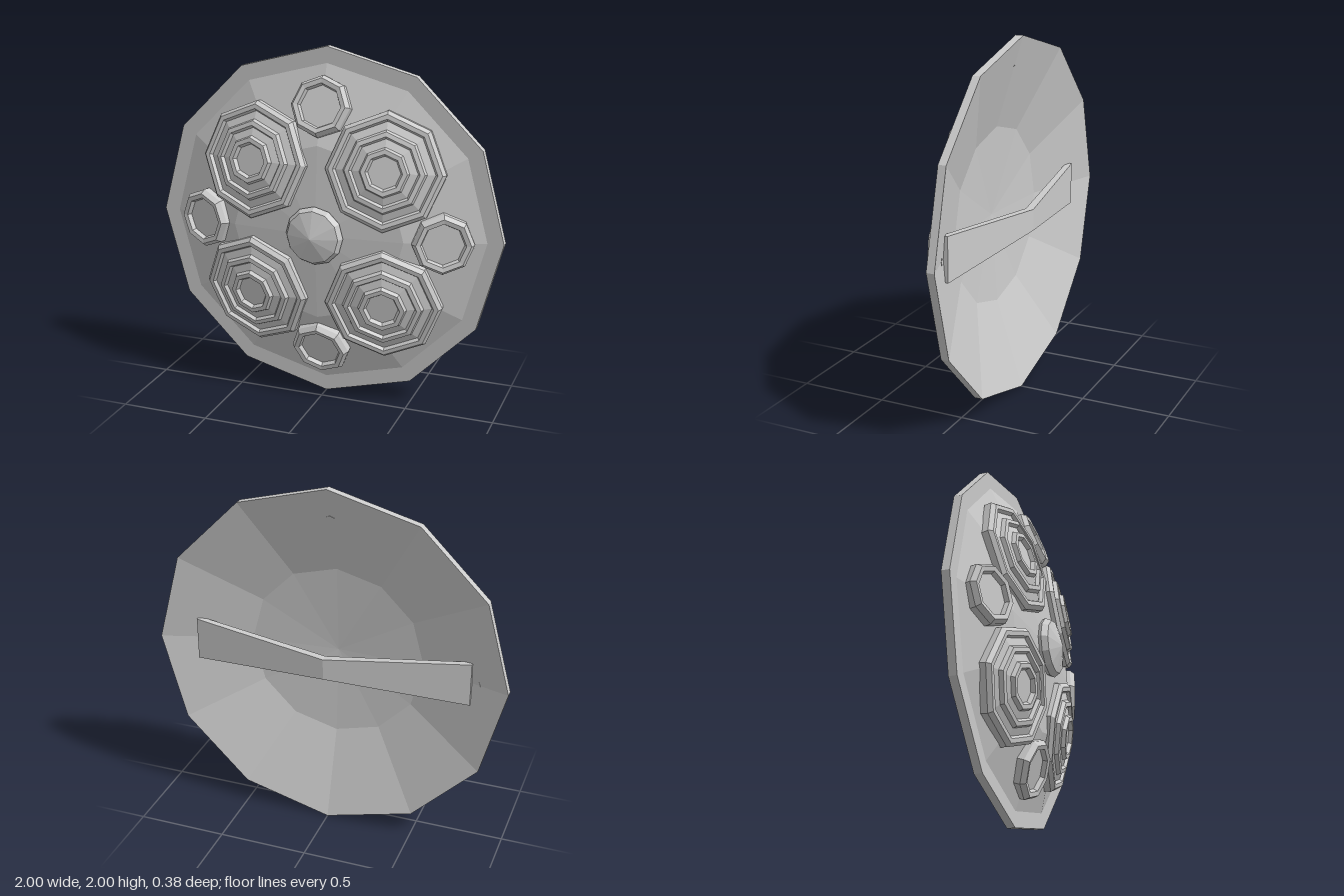
import * as THREE from 'three';

const material = new THREE.MeshStandardMaterial({ color: 0xcccccc, flatShading: true });

// Faceted disc turned around the z axis, profile given as [radius, z]
function turned(name, profile, sides) {
  const geometry = new THREE.LatheGeometry(profile.map(([r, z]) => new THREE.Vector2(r, z)), sides);
  geometry.rotateX(Math.PI / 2);
  const mesh = new THREE.Mesh(geometry, material);
  mesh.name = name;
  return mesh;
}

// Places a disc on the dome at a polar position, leaning outwards
function placeOnDome(mesh, angle, radius, z, tilt) {
  const pivot = new THREE.Group();
  pivot.name = mesh.name + 'Mount';
  pivot.rotation.z = angle;
  mesh.position.set(radius, 0, z);
  mesh.rotation.y = tilt;
  pivot.add(mesh);
  return pivot;
}

// Strap bowed away from the back, narrowest in the middle
function makeHandle() {
  const geometry = new THREE.BoxGeometry(2, 2, 2, 2, 1, 1);
  const p = geometry.attributes.position;
  for (let i = 0; i < p.count; i++) {
    const t = Math.abs(p.getX(i));
    const halfWidth = 0.06 + 0.062 * t;
    const z = p.getZ(i) < 0 ? -0.19 + 0.104 * t : -0.145 + 0.095 * t;
    p.setXYZ(i, p.getX(i) * 0.79, p.getY(i) * halfWidth, z);
  }
  const mesh = new THREE.Mesh(geometry, material);
  mesh.name = 'handle';
  return mesh;
}

export function createModel() {
  const model = new THREE.Group();
  model.name = 'shield';
  model.position.y = 1;

  // Hollow twelve-sided dome with a flat rim
  model.add(turned('shieldBody', [
    [0, 0.063], [0.5, 0.03], [1, -0.125], [1, -0.08],
    [0.91, -0.08], [0.49, 0.07], [0, 0.11],
  ], 12));

  // Central boss
  model.add(turned('boss', [[0.15, 0.08], [0.165, 0.115], [0.147, 0.148], [0, 0.19]], 12));

  // Large stepped medallions and small ring studs
  const largeProfile = [
    [0.325, -0.03], [0.325, 0.01], [0.305, 0.032], [0.28, 0.032], [0.268, 0.014],
    [0.225, 0.028], [0.215, 0.05], [0.19, 0.054], [0.178, 0.036],
    [0.135, 0.048], [0.125, 0.07], [0.1, 0.07], [0.088, 0.048], [0, 0.048],
  ];
  const smallProfile = [
    [0.168, -0.03], [0.168, 0.018], [0.148, 0.045], [0.122, 0.04], [0.114, 0.015], [0, 0.015],
  ];
  for (let i = 0; i < 4; i++) {
    const angle = i * Math.PI / 2;
    model.add(placeOnDome(turned('largeMedallion', largeProfile, 8), angle + Math.PI / 4, 0.53, 0.04, 0.22));
    model.add(placeOnDome(turned('smallStud', smallProfile, 8), angle, 0.69, 0.005, 0.33));
  }

  // Grip on the back
  model.add(makeHandle());

  const root = new THREE.Group();
  root.add(model);
  return root;
}
